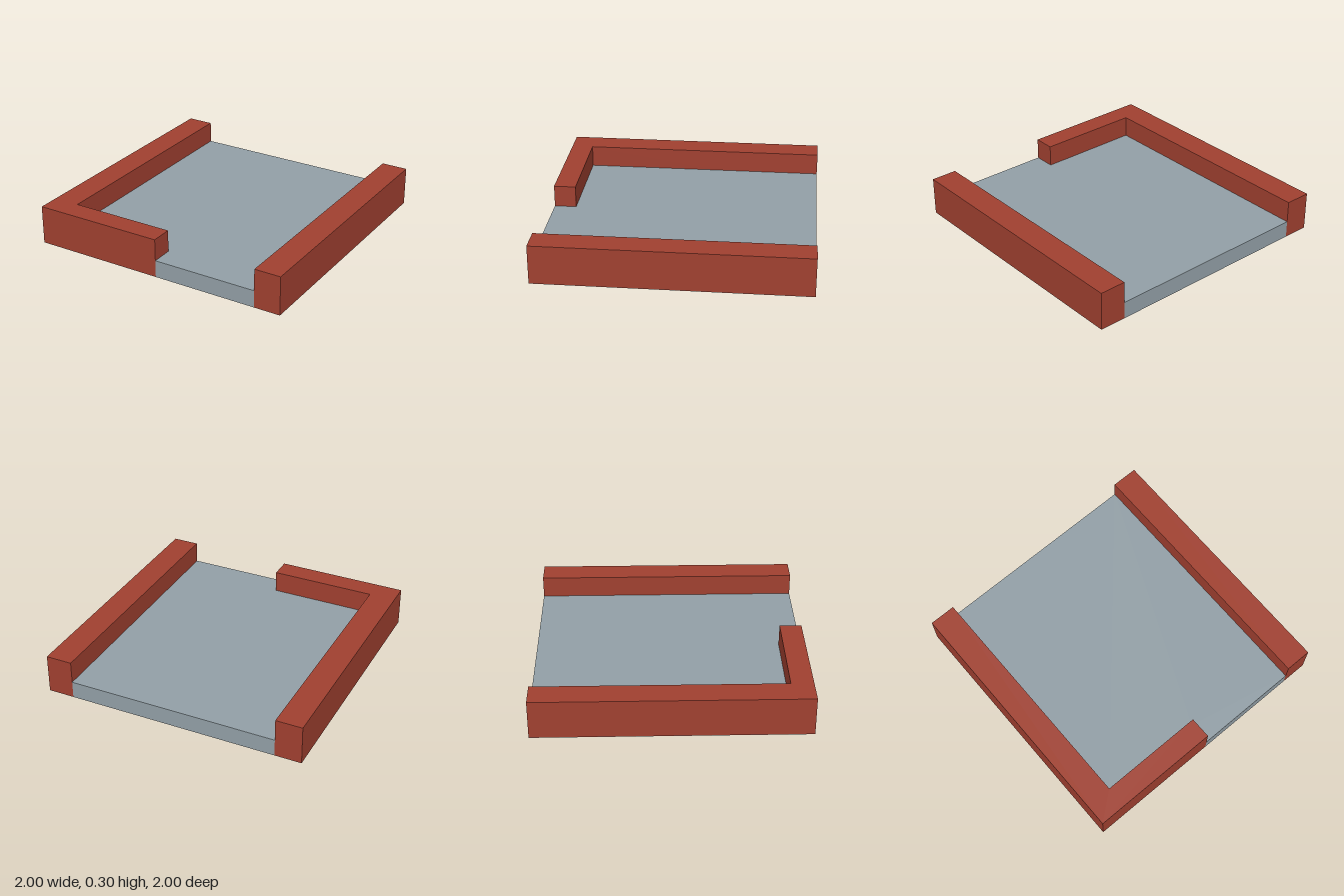
import * as THREE from 'three';

const RED = 0xa04030, GREY = 0x929fa6;

// Raise a plan outline of [x, z] corners from y0 to y1
function slab(name, plan, y0, y1, color) {
  const shape = new THREE.Shape(plan.map(([x, z]) => new THREE.Vector2(x, -z)));
  const geometry = new THREE.ExtrudeGeometry(shape, { depth: y1 - y0, bevelEnabled: false });
  geometry.rotateX(-Math.PI / 2).translate(0, y0, 0);
  const mesh = new THREE.Mesh(geometry, new THREE.MeshStandardMaterial({ color }));
  mesh.name = name;
  return mesh;
}

export function createModel() {
  const group = new THREE.Group();
  group.name = 'walledPlatform';
  const base = 0.002, deckTop = 0.13, wallTop = 0.295;
  const inner = 0.8, lip = 0.835;

  group.add(
    // Thin underside reaching below the walls
    slab('underside', [[-1, 1], [1, 1], [1, -1], [-1, -1]], 0, base, GREY),
    // Floor, cut back behind the front wall
    slab('floor', [[-inner, lip], [0, lip], [0, 1], [inner, 1], [inner, -1], [-inner, -1]], base, deckTop, GREY),
    // Right wall turning the corner into a half-width front wall
    slab('cornerWall', [[-1, 1], [0, 1], [0, lip], [-inner, lip], [-inner, -1], [-1, -1]], base, wallTop, RED),
    // Straight left wall
    slab('leftWall', [[inner, 1], [1, 1], [1, -1], [inner, -1]], base, wallTop, RED),
  );
  return group;
}
